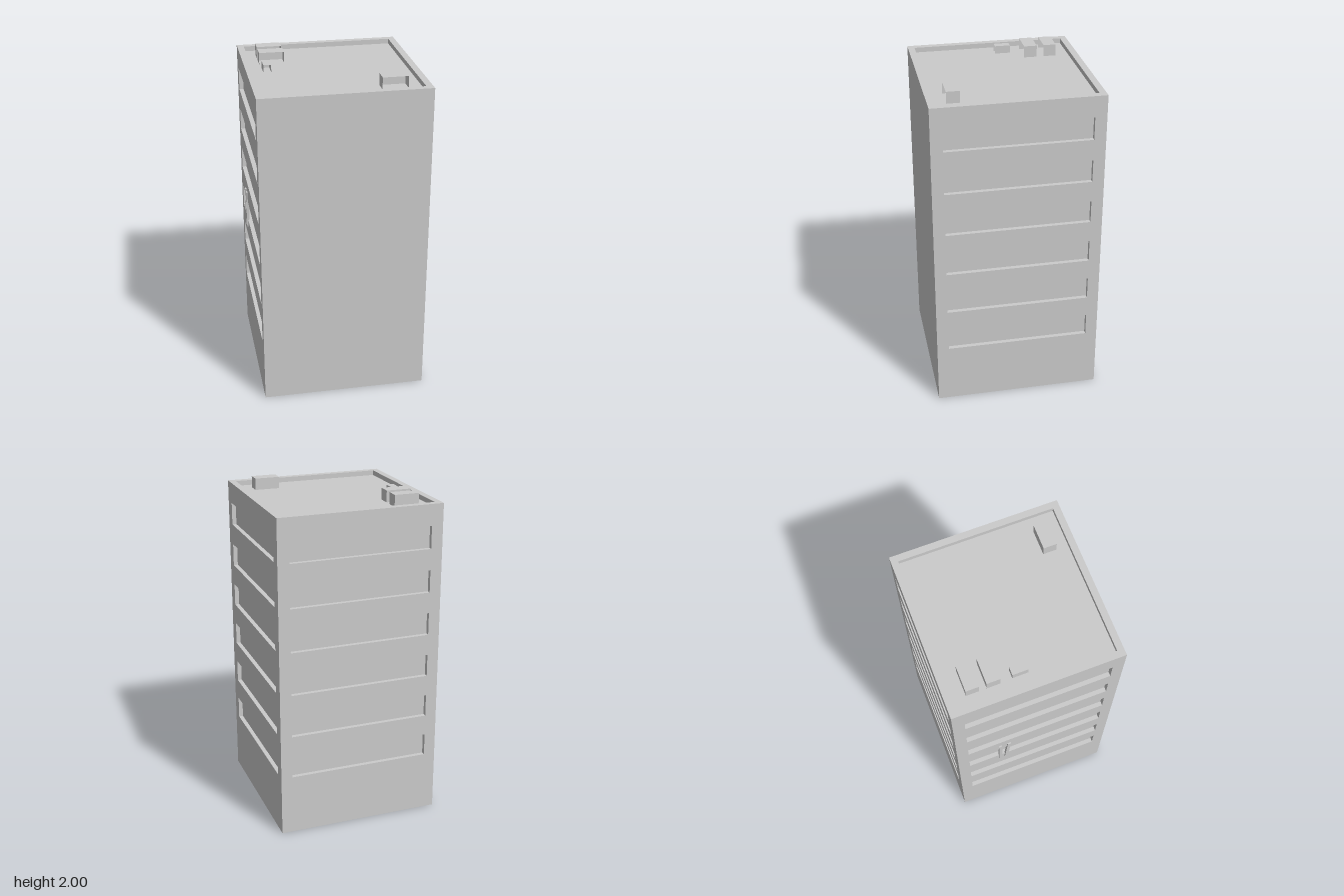
import * as THREE from 'three';

const mat = new THREE.MeshStandardMaterial({ color: 0xcccccc, side: THREE.DoubleSide, flatShading: true });

const HEIGHT = 1.96, HALF = 0.5, ROOF = 1.93;
const WIN = { half: 0.43, height: 0.137, first: 0.37, pitch: 0.265, count: 6, depth: 0.026 };
const PX = 0, NX = 1, PY = 2, NY = 3, PZ = 4, NZ = 5;

function mesh(geometry, name, x = 0, y = 0, z = 0) {
  const m = new THREE.Mesh(geometry, mat);
  m.name = name;
  m.position.set(x, y, z);
  return m;
}

// Box with some of its six sides left out
function openBox(w, h, d, omit) {
  const g = new THREE.BoxGeometry(w, h, d);
  const all = Array.from(g.index.array);
  g.setIndex(all.filter((_, i) => !omit.includes(Math.floor(i / 6))));
  g.clearGroups();
  return g;
}

function rect(target, x0, y0, x1, y1) {
  target.moveTo(x0, y0);
  target.lineTo(x1, y0);
  target.lineTo(x1, y1);
  target.lineTo(x0, y1);
  target.closePath();
  return target;
}

// Facade facing local +z, with rows of recessed window bands
function facade(name, angle, rows) {
  const wall = new THREE.Group();
  wall.name = name;
  const shape = rect(new THREE.Shape(), -HALF, 0, HALF, HEIGHT);
  for (let i = 0; i < rows; i++) {
    const y = WIN.first + i * WIN.pitch;
    shape.holes.push(rect(new THREE.Path(), -WIN.half, y, WIN.half, y + WIN.height));
    const recess = openBox(WIN.half * 2, WIN.height, WIN.depth, [PZ]);
    wall.add(mesh(recess, 'windowBand', 0, y + WIN.height / 2, HALF - WIN.depth / 2));
  }
  wall.add(mesh(new THREE.ShapeGeometry(shape), 'wallSurface', 0, 0, HALF));
  wall.rotation.y = angle;
  return wall;
}

export function createModel() {
  const tower = new THREE.Group();
  tower.name = 'officeTower';

  // Four walls: plain front, window bands on the others, open underneath
  tower.add(facade('frontWall', 0, 0));
  tower.add(facade('leftWall', Math.PI / 2, WIN.count));
  tower.add(facade('backWall', Math.PI, WIN.count));
  tower.add(facade('rightWall', -Math.PI / 2, WIN.count));

  // Parapet rim and sunken roof
  const inner = 0.46;
  const rim = rect(new THREE.Shape(), -HALF, -HALF, HALF, HALF);
  rim.holes.push(rect(new THREE.Path(), -inner, -inner, inner, inner));
  const rimGeo = new THREE.ShapeGeometry(rim).rotateX(-Math.PI / 2);
  tower.add(mesh(rimGeo, 'parapetRim', 0, HEIGHT, 0));
  const sunk = HEIGHT - ROOF;
  tower.add(mesh(openBox(inner * 2, sunk, inner * 2, [PY]), 'sunkenRoof', 0, ROOF + sunk / 2, 0));

  // Rooftop housings, open towards the front: [x0, x1, z0, z1, top]
  const housings = [
    [-0.398, -0.247, -0.38, -0.305, 2],
    [-0.398, -0.247, -0.262, -0.184, 2],
    [-0.393, -0.347, -0.115, -0.022, 1.977],
    [0.227, 0.378, 0.31, 0.388, 2],
  ];
  for (const [x0, x1, z0, z1, top] of housings) {
    const g = openBox(x1 - x0, top - ROOF, z1 - z0, [PZ, NY]);
    tower.add(mesh(g, 'roofHousing', (x0 + x1) / 2, (top + ROOF) / 2, (z0 + z1) / 2));
  }

  // Two slim upright strips on the right wall, the second leaning slightly
  const stripGeo = new THREE.BoxGeometry(0.016, 0.25, 0.02);
  tower.add(mesh(stripGeo, 'wallStrip', -0.5, 0.975, -0.229));
  const leaning = mesh(stripGeo, 'leaningWallStrip', -0.5, 0.975, -0.183);
  leaning.rotation.x = 0.08;
  tower.add(leaning);

  tower.position.x = 0.004;
  const model = new THREE.Group();
  model.name = 'building';
  model.add(tower);
  return model;
}
